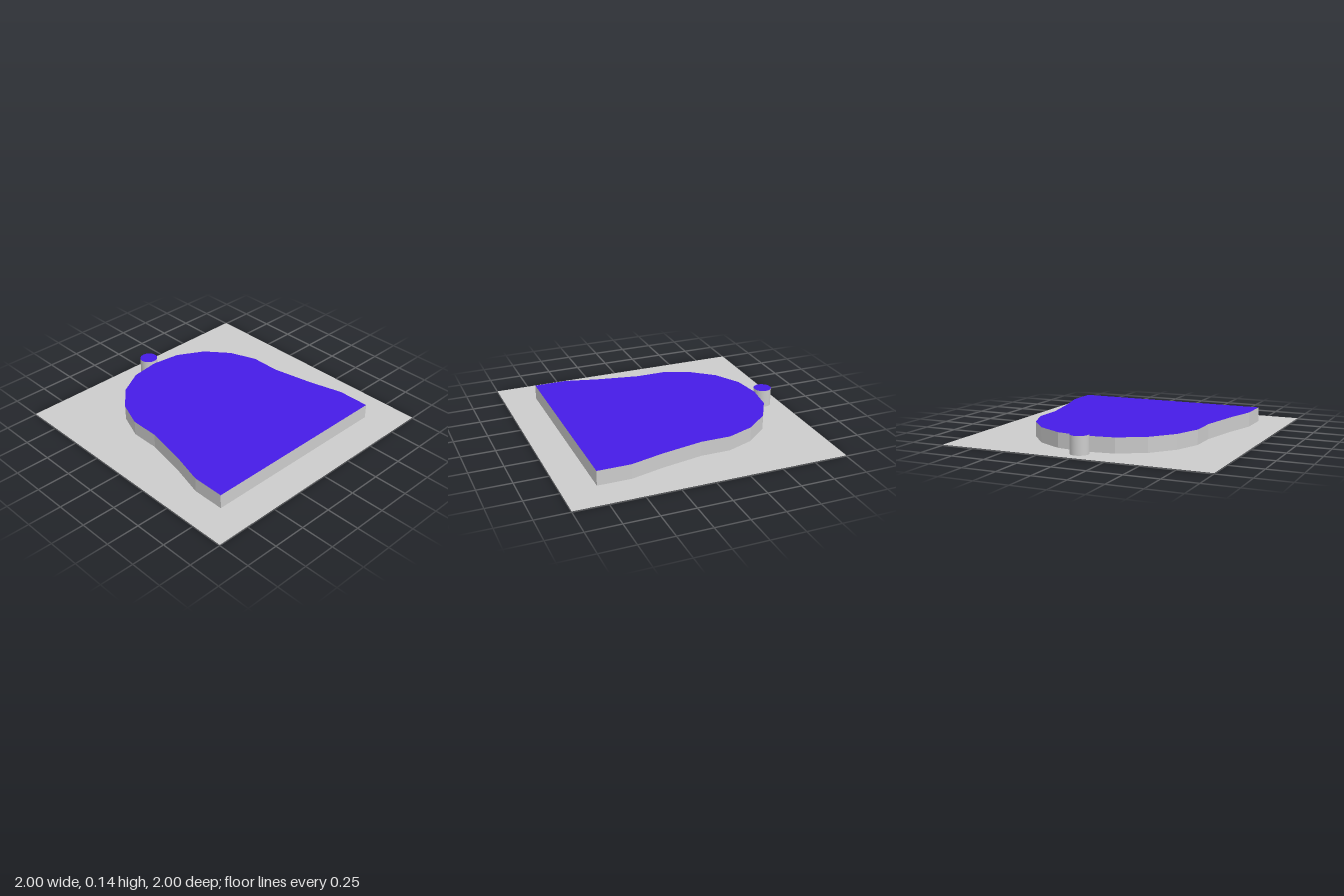
import * as THREE from 'three';

const BASE_Y = 0.005, TOP_Y = 0.115;
const POST_X = -0.857, POST_R = 0.067, POST_TOP = 0.138;

export function createModel() {
  const model = new THREE.Group();
  const grey = new THREE.MeshStandardMaterial({ color: 0xcccccc, side: THREE.DoubleSide });
  const greyFlat = new THREE.MeshStandardMaterial({ color: 0xcccccc, side: THREE.DoubleSide, flatShading: true });
  const blue = new THREE.MeshStandardMaterial({ color: 0x461be6, side: THREE.DoubleSide });

  const add = (name, geometry, material, x = 0, y = 0) => {
    const mesh = new THREE.Mesh(geometry, material);
    mesh.name = name;
    mesh.position.set(x, y, 0);
    model.add(mesh);
  };
  const lay = (geometry) => geometry.rotateX(-Math.PI / 2);

  // Half of the block's outline, mirrored across z = 0
  const half = [
    [0.75, 0.75], [0.505, 0.75], [0.255, 0.685], [-0.06, 0.625], [-0.28, 0.625],
    [-0.48, 0.55], [-0.65, 0.41], [-0.76, 0.215], [-0.79, 0],
  ].map(([x, y]) => new THREE.Vector2(x, y));
  const mirrored = half.slice(0, -1).reverse().map((p) => new THREE.Vector2(p.x, -p.y));
  const outline = [...half, ...mirrored];

  // Square ground sheet, open beneath the hollow block
  const sheet = new THREE.Shape([[-1, -1], [1, -1], [1, 1], [-1, 1]].map(([x, y]) => new THREE.Vector2(x, y)));
  sheet.holes.push(new THREE.Path(outline));
  add('groundSheet', lay(new THREE.ShapeGeometry(sheet)), grey, 0, BASE_Y);

  // Faceted walls that follow the outline
  const walls = [];
  outline.forEach((a, i) => {
    const b = outline[(i + 1) % outline.length];
    const corner = (p, y) => [p.x, y, -p.y];
    const a0 = corner(a, BASE_Y), a1 = corner(a, TOP_Y);
    const b0 = corner(b, BASE_Y), b1 = corner(b, TOP_Y);
    walls.push(...a0, ...b0, ...b1, ...a0, ...b1, ...a1);
  });
  const wallGeometry = new THREE.BufferGeometry();
  wallGeometry.setAttribute('position', new THREE.Float32BufferAttribute(walls, 3));
  wallGeometry.computeVertexNormals();
  add('blockWalls', wallGeometry, greyFlat);
  add('blockTop', lay(new THREE.ShapeGeometry(new THREE.Shape(outline))), blue, 0, TOP_Y);

  // Round post beside the curved end
  add('postWall', new THREE.CylinderGeometry(POST_R, POST_R, POST_TOP, 32, 1, true), grey, POST_X, POST_TOP / 2);
  add('postTop', lay(new THREE.CircleGeometry(POST_R, 32)), blue, POST_X, POST_TOP);

  return model;
}
